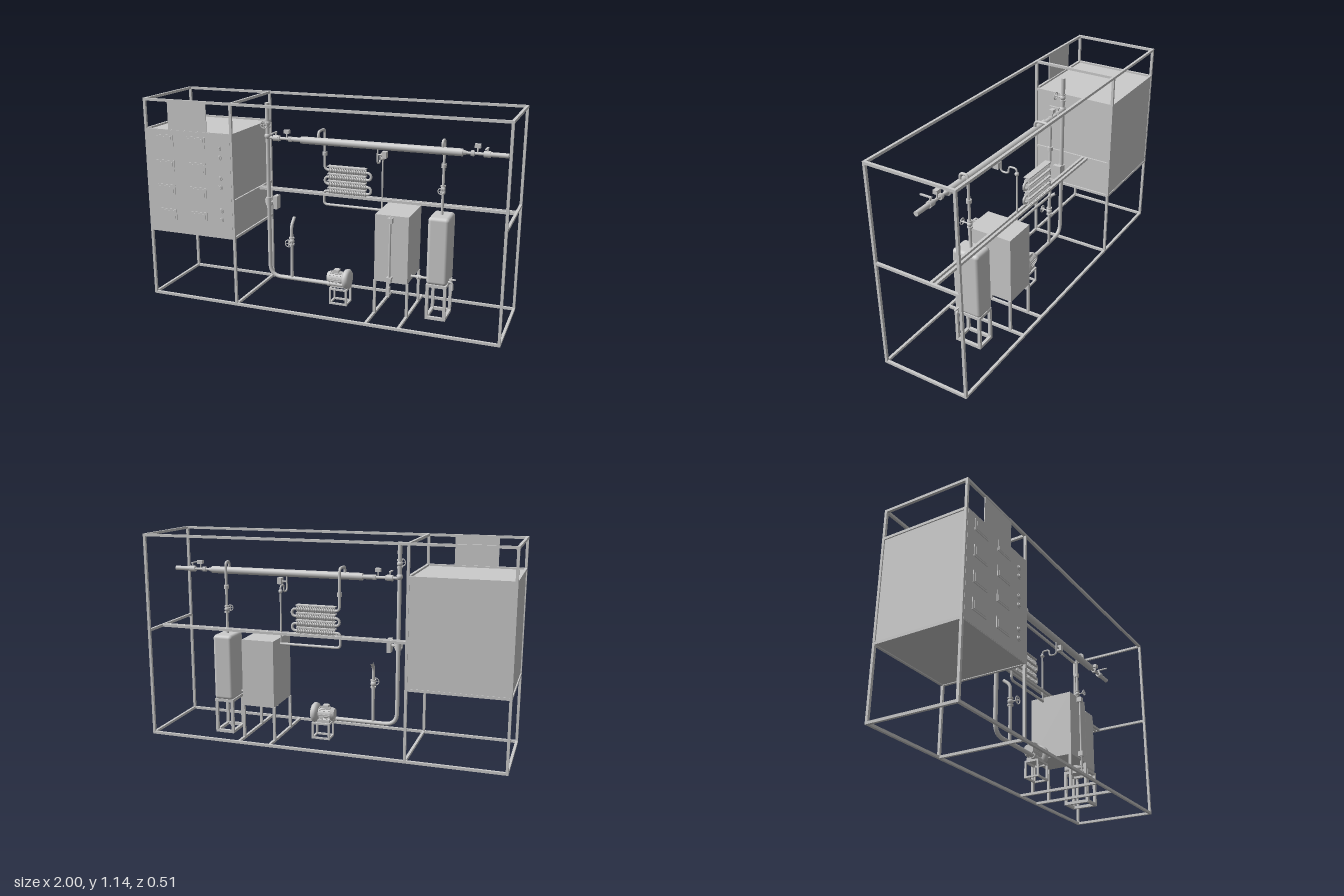
import * as THREE from 'three';
import { RoundedBoxGeometry } from 'three/addons/geometries/RoundedBoxGeometry.js';

export function createModel() {
  const root = new THREE.Group();
  const mat = new THREE.MeshStandardMaterial({ color: 0xcccccc });
  const V = (x, y, z) => new THREE.Vector3(x, y, z);
  let parent = root;

  const group = (name) => {
    parent = new THREE.Group();
    parent.name = name;
    root.add(parent);
  };
  const add = (name, geo, x = 0, y = 0, z = 0) => {
    const m = new THREE.Mesh(geo, mat);
    m.name = name;
    m.position.set(x, y, z);
    parent.add(m);
    return m;
  };
  // Box given by its lower and upper limits
  const box = (name, x0, x1, y0, y1, z0, z1) => add(name,
    new THREE.BoxGeometry(x1 - x0, y1 - y0, z1 - z0), (x0 + x1) / 2, (y0 + y1) / 2, (z0 + z1) / 2);
  // Straight round rod between two points, optionally tapered
  const rod = (name, a, b, r, r2 = r, seg = 20) => {
    const m = add(name, new THREE.CylinderGeometry(r2, r, a.distanceTo(b), seg));
    m.position.copy(a).add(b).multiplyScalar(0.5);
    m.quaternion.setFromUnitVectors(V(0, 1, 0), b.clone().sub(a).normalize());
    return m;
  };
  // Pipe through points with rounded corners
  const pipe = (name, pts, r, bend, seg = 80) => {
    const path = new THREE.CurvePath();
    let from = pts[0];
    for (let i = 1; i < pts.length - 1; i++) {
      const p = pts[i];
      const a = p.clone().add(pts[i - 1].clone().sub(p).setLength(bend));
      const b = p.clone().add(pts[i + 1].clone().sub(p).setLength(bend));
      if (from.distanceTo(a) > 1e-4) path.add(new THREE.LineCurve3(from, a));
      path.add(new THREE.QuadraticBezierCurve3(a, p, b));
      from = b;
    }
    path.add(new THREE.LineCurve3(from, pts[pts.length - 1]));
    return add(name, new THREE.TubeGeometry(path, seg, r, 12));
  };
  // Valve: round body, collars along dir, stem and handwheel to the front
  const valve = (x, y, z, dir, wheel = 0.02, s = 0.016) => {
    add('valveBody', new THREE.SphereGeometry(s, 16, 12), x, y, z);
    for (const k of [-1, 1]) {
      const c = V(x, y, z).addScaledVector(dir, k * s * 1.2);
      rod('valveCollar', c.clone().addScaledVector(dir, -0.004), c.clone().addScaledVector(dir, 0.004), s);
    }
    rod('valveStem', V(x, y, z), V(x, y, z + 0.05), 0.004);
    add('handwheel', new THREE.TorusGeometry(wheel, 0.003, 8, 24), x, y, z + 0.045);
    for (const k of [0, 1]) {
      const d = k ? V(0, wheel, 0) : V(wheel, 0, 0), c = V(x, y, z + 0.045);
      rod('handwheelSpoke', c.clone().sub(d), c.clone().add(d), 0.002, 0.002, 8);
    }
  };
  const X = V(1, 0, 0), Y = V(0, 1, 0);

  // Square-bar frame
  group('frame');
  const t = 0.007, H = 1.14;
  const barX = (x0, x1, y, z) => box('railX', x0, x1, y - t, y + t, z - t, z + t);
  const barY = (x, y0, y1, z) => box('post', x - t, x + t, y0, y1, z - t, z + t);
  const barZ = (x, y, z0 = -0.25, z1 = 0.25) => box('railZ', x - t, x + t, y - t, y + t, z0, z1);
  for (const z of [-0.243, 0.243]) {
    for (const y of [t, H - t]) barX(-1, 1, y, z);
    for (const y of [0.395, 0.968]) barX(-1, -0.463, y, z);
    for (const x of [-0.993, -0.47, 0.993]) barY(x, 0, H, z);
  }
  for (const x of [-0.993, -0.47, 0.993]) for (const y of [t, H - t]) barZ(x, y);
  for (const x of [-0.993, -0.47]) for (const y of [0.395, 0.968]) barZ(x, y);
  for (const x of [-0.47, 0.993]) barZ(x, 0.604);
  for (const z of [-0.1, -0.075]) barX(-0.47, 0.993, 0.604, z);
  for (const x of [0.287, 0.468]) barZ(x, t);

  // Control cabinet with meters and knobs
  group('controlCabinet');
  box('cabinetBody', -0.994, -0.472, 0.392, 0.965, -0.247, 0.247);
  box('frontPanel', -0.988, -0.475, 0.392, 0.972, 0.245, 0.251);
  box('signPlate', -0.85, -0.615, 0.972, 1.13, 0.243, 0.248);
  for (const y of [0.915, 0.773, 0.635, 0.495]) for (const x of [-0.877, -0.682]) {
    box('meterFrame', x - 0.056, x + 0.056, y - 0.031, y + 0.031, 0.25, 0.255);
    box('meterWindow', x - 0.045, x + 0.045, y - 0.022, y + 0.022, 0.25, 0.257);
  }
  for (const y of [0.893, 0.843, 0.727, 0.678, 0.545, 0.495]) {
    rod('knobBase', V(-0.542, y, 0.25), V(-0.542, y, 0.256), 0.015);
    rod('knob', V(-0.542, y, 0.25), V(-0.542, y, 0.262), 0.01);
  }

  // Pump on its stand
  const stand = (name, x0, x1, z0, z1, h, b) => {
    for (const x of [x0, x1 - b]) {
      for (const z of [z0, z1 - b]) box(name + 'Leg', x, x + b, 0, h, z, z + b);
      for (const y of [0, h - b]) box(name + 'Bar', x, x + b, y, y + b, z0, z1);
    }
    for (const z of [z0, z1 - b]) for (const y of [0, h - b]) box(name + 'Bar', x0, x1, y, y + b, z, z + b);
  };
  group('pump');
  stand('pumpStand', 0.005, 0.11, -0.045, 0.04, 0.095, 0.01);
  const pz = -0.008, py = 0.145;
  rod('motor', V(-0.005, py, pz), V(0.075, py, pz), 0.034, 0.034, 32);
  rod('motorCover', V(-0.016, py, pz), V(0.004, py, pz), 0.03, 0.037, 32);
  for (let i = 0; i < 20; i++) {
    const f = box('motorFin', 0.005, 0.07, -0.0015, 0.0015, -0.003, 0.003);
    const a = i * Math.PI / 10;
    f.position.set(0.037, py + 0.035 * Math.cos(a), pz + 0.035 * Math.sin(a));
    f.rotation.x = a + Math.PI / 2;
  }
  box('terminalBox', 0.02, 0.052, 0.175, 0.195, -0.025, 0.01);
  box('motorFoot', 0.01, 0.105, 0.095, 0.112, -0.035, 0.02);
  const profile = [[0, -0.022], [0.038, -0.022], [0.052, -0.014], [0.056, -0.004], [0.056, 0.008], [0.046, 0.018], [0.025, 0.022], [0, 0.022]];
  const volute = add('volute', new THREE.LatheGeometry(profile.map(p => new THREE.Vector2(...p)), 36), 0.098, py, pz);
  volute.rotation.z = -Math.PI / 2;

  // Suction and riser pipework
  group('riserPipe');
  const z = 0.012;
  pipe('riser', [V(0.08, 0.112, z), V(-0.366, 0.112, z), V(-0.366, 1.11, z)], 0.0115, 0.07);
  rod('riserTop', V(-0.366, 1.05, z), V(-0.366, 1.115, z), 0.0125);
  rod('pumpFlange', V(-0.01, 0.112, z), V(0.006, 0.112, z), 0.016);
  valve(-0.366, 1.0, z, Y);
  add('tee', new THREE.SphereGeometry(0.018, 16, 12), -0.366, 0.93, z);
  rod('flowMeterCollar', V(-0.366, 0.535, z), V(-0.366, 0.58, z), 0.018);
  add('flowMeterRing', new THREE.TorusGeometry(0.02, 0.006, 8, 24), -0.366, 0.557, z);
  rod('flowMeterArm', V(-0.366, 0.557, z), V(-0.32, 0.557, z), 0.008);
  box('flowMeterHead', -0.33, -0.307, 0.52, 0.595, -0.012, 0.035);
  pipe('bypass', [V(-0.23, 0.112, z), V(-0.23, 0.43, z), V(-0.23, 0.465, -0.03)], 0.009, 0.025);
  valve(-0.23, 0.335, z, Y);

  // Jacketed heat exchanger and its line
  group('heatExchanger');
  const my = 0.922;
  rod('innerPipe', V(-0.366, my, z), V(0.95, my, z), 0.008);
  rod('jacket', V(-0.165, my, z), V(0.72, my, z), 0.02, 0.02, 32);
  rod('inletPipe', V(-0.23, my, z), V(-0.165, my, z), 0.013);
  rod('outletPipe', V(0.84, my, z), V(0.95, my, z), 0.0125);
  rod('outletReducer', V(0.72, my, z), V(0.745, my, z), 0.015, 0.008);
  for (const x of [-0.3, -0.23, 0.77, 0.835])
    rod('coupling', V(x - 0.009, my, z), V(x + 0.009, my, z), 0.016, 0.016, 6);
  for (const x of [-0.315, 0.845]) {
    rod('valveBody', V(x - 0.016, my, z), V(x + 0.016, my, z), 0.017);
    rod('leverStem', V(x, my, z), V(x, my + 0.035, z), 0.005);
    box('lever', x - 0.005, x + 0.005, my + 0.03, my + 0.036, z - 0.01, z + 0.055);
  }
  for (const x of [-0.25, 0.795]) {
    rod('sensorStem', V(x, my, z), V(x, 0.955, z), 0.004);
    box('sensorHead', x - 0.015, x + 0.015, 0.952, 0.972, z - 0.012, z + 0.012);
  }

  // Looped pipe from the jacket to the cooling coil
  group('coolingCoil');
  const cz = -0.083, r = 0.0075, rows = [0.745, 0.705, 0.665, 0.625];
  pipe('coilFeed', [V(-0.065, my, z), V(-0.065, 0.974, z), V(-0.065, 0.974, cz), V(-0.065, rows[0], cz), V(-0.02, rows[0], cz)], r, 0.025, 100);
  rod('union', V(-0.065, 0.825, cz), V(-0.065, 0.845, cz), 0.014);
  rows.forEach((y, i) => {
    rod('coilRow', V(-0.045, y, cz), V(0.185, y, cz), r);
    for (let k = 0; k < 22; k++)
      rod('coilFin', V(-0.038 + k * 0.01, y, cz), V(-0.034 + k * 0.01, y, cz), 0.016, 0.016, 14);
    if (i === 3) return;
    const s = i % 2 ? -1 : 1;
    const bend = add('returnBend', new THREE.TorusGeometry(0.02, r, 10, 16, Math.PI), s > 0 ? 0.185 : -0.045, y - 0.02, cz);
    bend.rotation.z = -s * Math.PI / 2;
  });
  for (const y of [0.767, 0.725, 0.685, 0.645, 0.61])
    box('coilPlate', -0.045, 0.177, y - 0.003, y + 0.003, cz - 0.018, cz + 0.018);
  pipe('coilReturn', [V(-0.045, 0.625, cz), V(-0.07, 0.625, cz), V(-0.07, 0.545, cz), V(0.275, 0.545, cz)], r, 0.022);
  pipe('trapHose', [V(0.27, my, z), V(0.27, 0.825, z), V(0.27, 0.825, -0.035), V(0.27, 0.865, -0.035),
    V(0.27, 0.865, cz), V(0.27, 0.545, cz)], 0.005, 0.018, 120);
  add('hoseJoint', new THREE.SphereGeometry(0.012, 14, 10), 0.27, 0.835, cz);
  rod('sensorArm', V(0.27, 0.875, z), V(0.305, 0.875, z), 0.005);
  box('sensorHead', 0.297, 0.322, 0.86, 0.895, -0.005, 0.029);

  // Supply box with level gauge
  group('supplyTank');
  box('supplyBox', 0.285, 0.47, 0.198, 0.572, -0.167, 0.088);
  for (const x of [0.287, 0.468]) for (const lz of [-0.16, 0.081]) barY(x, 0, 0.2, lz);
  rod('gaugeGlass', V(0.375, 0.2, 0.105), V(0.375, 0.57, 0.105), 0.006);
  for (const y of [0.22, 0.55]) {
    box('gaugeFitting', 0.362, 0.388, y - 0.014, y + 0.014, 0.09, 0.118);
    rod('gaugeConnector', V(0.375, y, 0.08), V(0.375, y, 0.1), 0.008);
  }
  rod('gaugeDrain', V(0.375, 0.12, 0.105), V(0.375, 0.21, 0.105), 0.004);
  rod('gaugeDrainValve', V(0.375, 0.15, 0.105), V(0.375, 0.18, 0.105), 0.008);

  // Rounded receiver tank with stand and taps
  group('receiverTank');
  const tz = -0.033, tx = 0.616;
  add('receiver', new RoundedBoxGeometry(0.115, 0.375, 0.157, 5, 0.02), tx, 0.384, tz);
  stand('receiverStand', 0.56, 0.672, -0.107, 0.047, 0.2, 0.016);
  pipe('receiverFeed', [V(tx, my, z), V(tx, 0.974, z), V(tx, 0.974, tz), V(tx, 0.56, tz)], r, 0.021);
  rod('union', V(tx, 0.825, tz), V(tx, 0.845, tz), 0.014);
  valve(tx, 0.708, tz, Y, 0.016, 0.014);
  rod('linkPipe', V(0.465, 0.222, z), V(0.57, 0.222, z), 0.007);
  rod('linkValve', V(0.5, 0.222, z), V(0.525, 0.222, z), 0.012);
  box('linkLever', 0.51, 0.516, 0.222, 0.228, z, z + 0.04);
  pipe('tap', [V(0.66, 0.215, z), V(0.697, 0.215, z), V(0.697, 0.17, z)], 0.006, 0.015, 30);
  rod('tapStem', V(0.69, 0.21, z), V(0.69, 0.232, z), 0.004);
  box('tapLever', 0.68, 0.715, 0.228, 0.234, z - 0.005, z + 0.005);

  return root;
}
